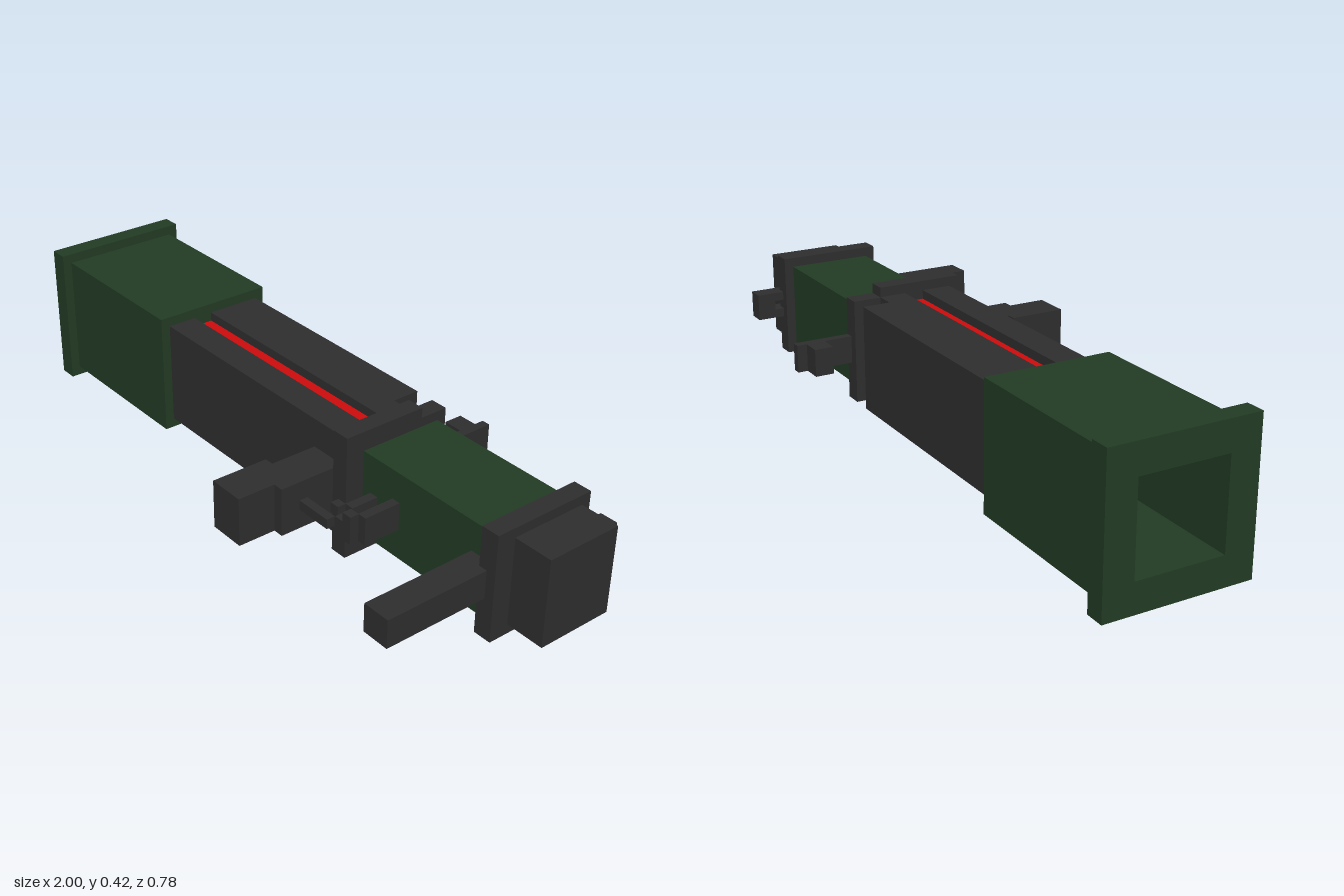
import * as THREE from 'three';

export function createModel() {
  const model = new THREE.Group();
  model.name = 'shoulderLauncher';
  const mat = (name, color) => {
    const m = new THREE.MeshStandardMaterial({ color });
    m.name = name;
    return m;
  };
  const green = mat('darkGreen', 0x223b24);
  const dark = mat('charcoal', 0x2e2e2e);
  const red = mat('red', 0xcc0c0c);

  // Centre line of the tube, and half width of its bore
  const CY = 0.209, CZ = -0.069, BORE = 0.125;

  // Box given by its limits along each axis
  function box(name, material, [x0, x1], [y0, y1], [z0, z1]) {
    const mesh = new THREE.Mesh(new THREE.BoxGeometry(x1 - x0, y1 - y0, z1 - z0), material);
    mesh.position.set((x0 + x1) / 2, (y0 + y1) / 2, (z0 + z1) / 2);
    mesh.name = name;
    model.add(mesh);
  }
  // Solid square section on the centre line
  const section = (name, material, x, h) =>
    box(name, material, x, [CY - h, CY + h], [CZ - h, CZ + h]);

  // Hollow square section on the centre line
  function hollow(name, material, [x0, x1], h) {
    const square = (r) => [[-r, -r], [r, -r], [r, r], [-r, r]].map(([a, b]) => new THREE.Vector2(a, b));
    const shape = new THREE.Shape(square(h));
    shape.holes.push(new THREE.Path(square(BORE)));
    const geometry = new THREE.ExtrudeGeometry(shape, { depth: x1 - x0, bevelEnabled: false });
    geometry.rotateY(Math.PI / 2);
    const mesh = new THREE.Mesh(geometry, material);
    mesh.position.set(x0, CY, CZ);
    mesh.name = name;
    model.add(mesh);
  }

  // Muzzle
  hollow('muzzleFlange', green, [-1, -0.945], 0.209);
  hollow('muzzleTube', green, [-0.945, -0.445], 0.181);

  // Slotted casing around the core
  section('core', dark, [-0.446, 0.335], BORE);
  const body = [-0.445, 0.335], inner = BORE, outer = 0.153;
  for (const s of [-1, 1]) {
    const y = s > 0 ? [CY + inner, CY + outer] : [CY - outer, CY - inner];
    box('casingFrontStrip', dark, body, y, [-0.003, 0.084]);
    box('casingBackStrip', dark, body, y, [-0.14, -0.061]);
    box('casingBackCorner', dark, [-0.445, 0.275], y, [-0.222, -0.14]);
    const ys = CY + s * inner;
    box('slotStripe', red, body, [ys - 0.002, ys + 0.002], [-0.061, -0.003]);
  }
  box('casingFrontWall', dark, body, [CY - inner, CY + inner], [CZ + inner, 0.084]);
  box('casingBackWall', dark, [-0.445, 0.275], [CY - inner, CY + inner], [-0.222, CZ - inner]);

  // Middle collar, rear tube and end
  box('middleCollar', dark, [0.333, 0.385], [0.029, 0.39], [-0.139, 0.112]);
  box('middleCollarBack', dark, [0.333, 0.385], [0.057, 0.361], [-0.222, -0.139]);
  section('rearTube', green, [0.385, 0.835], BORE);
  section('rearCollar', dark, [0.835, 0.888], 0.153);
  box('endCap', dark, [0.888, 1], [CY - BORE, CY + BORE], [-0.195, 0.028]);

  // Sights along the back
  box('frontSightPost', dark, [0.36, 0.385], [0.17, 0.25], [-0.39, -0.2]);
  box('frontSightBlock', dark, [0.303, 0.36], [0.17, 0.25], [-0.361, -0.306]);
  box('rearSightHead', dark, [0.86, 0.912], [0.17, 0.25], [-0.305, -0.25]);
  for (const y of [[0.17, 0.196], [0.224, 0.25]]) {
    box('rearSightProng', dark, [0.86, 0.912], y, [-0.25, -0.195]);
  }

  // Grips on the front
  box('gripBase', dark, [0.222, 0.333], [0.14, 0.279], [0.08, 0.277]);
  box('gripEnd', dark, [0.195, 0.303], [0.14, 0.279], [0.222, 0.387]);
  box('rearGrip', dark, [0.78, 0.86], [0.17, 0.25], [0.05, 0.387]);

  // Trigger and its guard
  const thin = [0.196, 0.224], wide = [0.17, 0.25];
  box('trigger', dark, [0.415, 0.442], thin, [0.05, 0.138]);
  box('triggerTip', dark, [0.387, 0.415], thin, [0.138, 0.163]);
  box('guardBar', dark, [0.33, 0.442], thin, [0.195, 0.22]);
  box('guardStep', dark, [0.442, 0.47], thin, [0.167, 0.194]);
  box('guardCorner', dark, [0.47, 0.5], wide, [0.167, 0.194]);
  box('guardPost', dark, [0.498, 0.525], wide, [0.05, 0.167]);

  return model;
}
